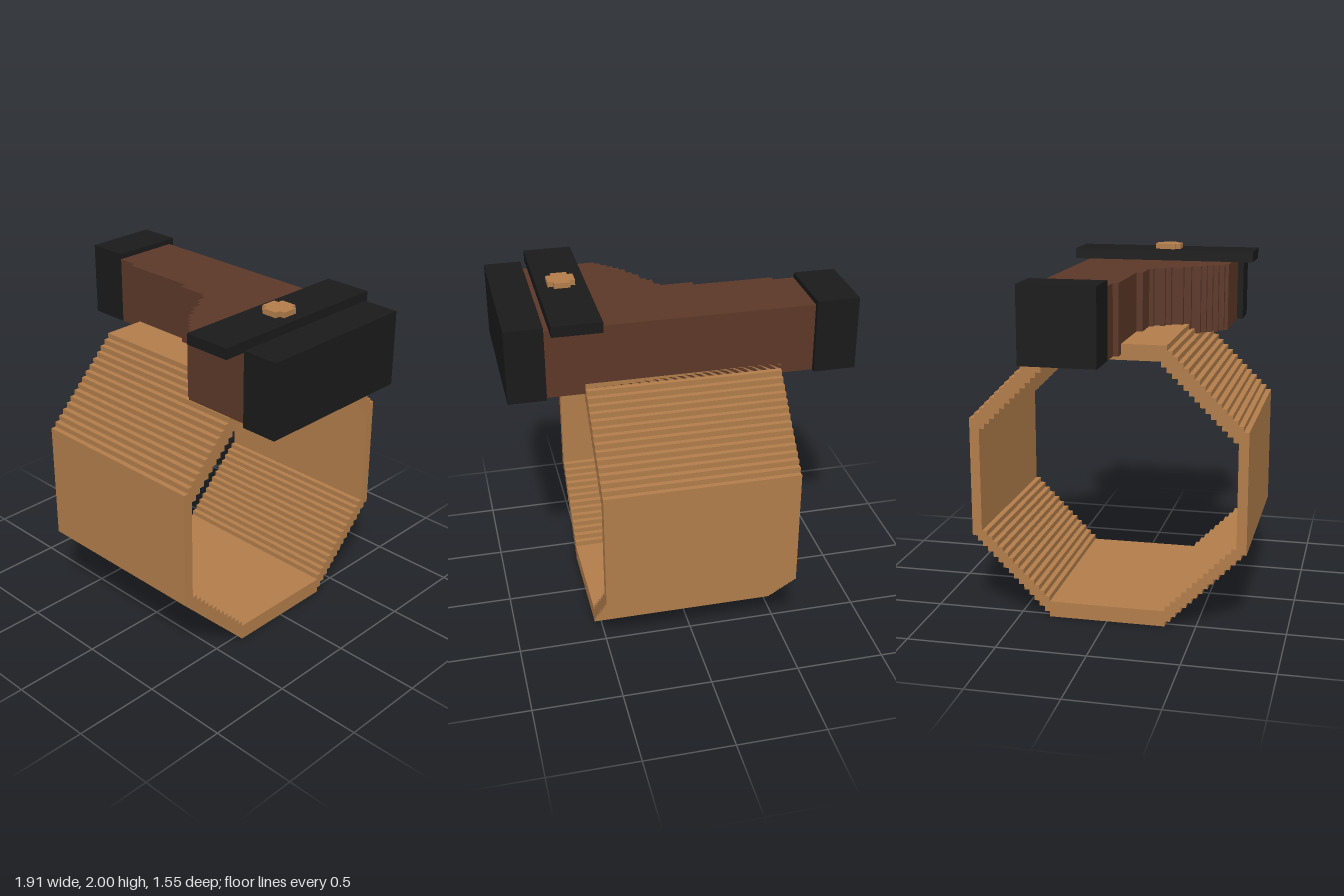
import * as THREE from 'three';

const tan = new THREE.MeshStandardMaterial({ color: 0xb27d4b });
tan.name = 'tan wood';
const brown = new THREE.MeshStandardMaterial({ color: 0x5c3828 });
brown.name = 'dark brown wood';
const black = new THREE.MeshStandardMaterial({ color: 0x1a1a1a });
black.name = 'black';

// Horizontal slab from [x, z] outlines, between two heights
function slab(name, outline, hole, y0, y1, material) {
  const flat = (pts) => pts.map(([x, z]) => new THREE.Vector2(x, -z));
  const shape = new THREE.Shape(flat(outline));
  if (hole) shape.holes.push(new THREE.Path(flat(hole)));
  const geo = new THREE.ExtrudeGeometry(shape, { depth: y1 - y0, bevelEnabled: false });
  geo.rotateX(-Math.PI / 2).translate(0, y0, 0);
  const mesh = new THREE.Mesh(geo, material);
  mesh.name = name;
  return mesh;
}

// Box given by its limits
function block(name, x0, x1, y0, y1, z0, z1, material) {
  const mesh = new THREE.Mesh(new THREE.BoxGeometry(x1 - x0, y1 - y0, z1 - z0), material);
  mesh.position.set((x0 + x1) / 2, (y0 + y1) / 2, (z0 + z1) / 2);
  mesh.name = name;
  return mesh;
}

// Staircase front of the body: depth reached at each step of 0.03 in x
const STEP_Z = [0.145, 0.205, 0.235, 0.3, 0.34, 0.39, 0.42, 0.45, 0.48, 0.51, 0.53];

function staircase(inset, zMax) {
  const pts = [];
  let z = 0.12 - inset;
  STEP_Z.forEach((zi, i) => {
    const x = 0.03 + 0.03 * i + inset;
    const next = Math.min(zi - inset, zMax);
    if (next > z + 0.001) pts.push([x, z], [x, next]);
    z = Math.max(z, next);
  });
  return pts;
}

// Body footprint, inset from its stepped front and clipped to the given limits
function footprint(inset, x0, x1, z0, zMax) {
  const z = 0.085 - inset, x = -0.15 + inset;
  return [[x0, z0], [x0, z], [x, z], [x, 0.12 - inset], ...staircase(inset, zMax), [x1, zMax], [x1, z0]];
}

// Stepped diagonal from a flat (z0, y0) to a side wall (z1, y1), as [z, y] pairs
function steps(z0, y0, z1, y1, count) {
  const pts = [[z0, y0]];
  const run = (z1 - z0) / count, rise = (y1 - y0) / count;
  for (let i = 1; i <= count; i++) {
    pts.push([z0 + run * (i - 1), y0 + rise * i], [z0 + run * i, y0 + rise * i]);
  }
  return pts;
}

export function createModel() {
  const model = new THREE.Group();

  // Octagonal band, open at the top where the cover plate sits
  const outer = [
    ...steps(0.33, 0, 0.775, 0.452, 15), ...steps(0.33, 1.582, 0.775, 1.135, 15).reverse(), [0.3, 1.582],
  ];
  const inner = [
    ...steps(0.33, 0.09, 0.72, 0.482, 13), ...steps(0.3, 1.495, 0.72, 1.075, 14).reverse(),
  ];
  const mirror = (pts) => pts.map(([z, y]) => [-z, y]);
  const profile = [
    ...outer, ...[...inner].reverse(), ...mirror(inner), ...mirror(outer).reverse(),
  ].map(([z, y]) => new THREE.Vector2(z, y));
  const bandGeo = new THREE.ExtrudeGeometry(new THREE.Shape(profile), { depth: 1.076, bevelEnabled: false });
  bandGeo.rotateY(Math.PI / 2).translate(-0.538, 0, 0);
  const band = new THREE.Mesh(bandGeo, tan);
  band.name = 'band';
  model.add(band);

  // Top of the band, cut away below the body
  const plate = [[-0.538, -0.3], [0.538, -0.3], [0.538, 0.3], [-0.538, 0.3]];
  const cut = footprint(0, -0.52, 0.52, -0.295, 0.295);
  const cutInside = footprint(0.01, -0.51, 0.51, -0.285, 0.285);
  model.add(slab('bandTop', plate, cut, 1.495, 1.582, tan));

  // Hollow thin-walled body, open into the band
  const outline = [
    [-0.72, -0.33], [-0.72, 0.055], [-0.6, 0.055],
    ...footprint(0, -0.6, 0.748, -0.33, 0.53).slice(1),
  ];
  const body = new THREE.Group();
  body.name = 'body';
  body.add(
    slab('bodyLiner', cut, cutInside, 1.495, 1.59, brown),
    slab('bodyFloor', outline, cutInside, 1.525, 1.535, brown),
    slab('bodyWalls', outline, footprint(0.01, -0.59, 0.738, -0.32, 0.52), 1.535, 1.9, brown),
    slab('bodyLid', outline, null, 1.9, 1.91, brown),
  );
  model.add(body);

  // End caps and the plate across the top
  model.add(
    block('smallEndCap', -0.955, -0.72, 1.525, 1.94, -0.36, 0.055, black),
    block('largeEndCap', 0.748, 0.955, 1.525, 1.94, -0.36, 0.565, black),
    block('topPlate', 0.448, 0.717, 1.91, 1.97, -0.418, 0.655, black),
  );

  // Button with notched corners
  const a = 0.075, b = 0.045;
  const button = [
    [-a, -b], [-b, -b], [-b, -a], [b, -a], [b, -b], [a, -b],
    [a, b], [b, b], [b, a], [-b, a], [-b, b], [-a, b],
  ].map(([x, z]) => [x + 0.583, z + 0.133]);
  model.add(slab('button', button, null, 1.97, 2, tan));

  return model;
}
